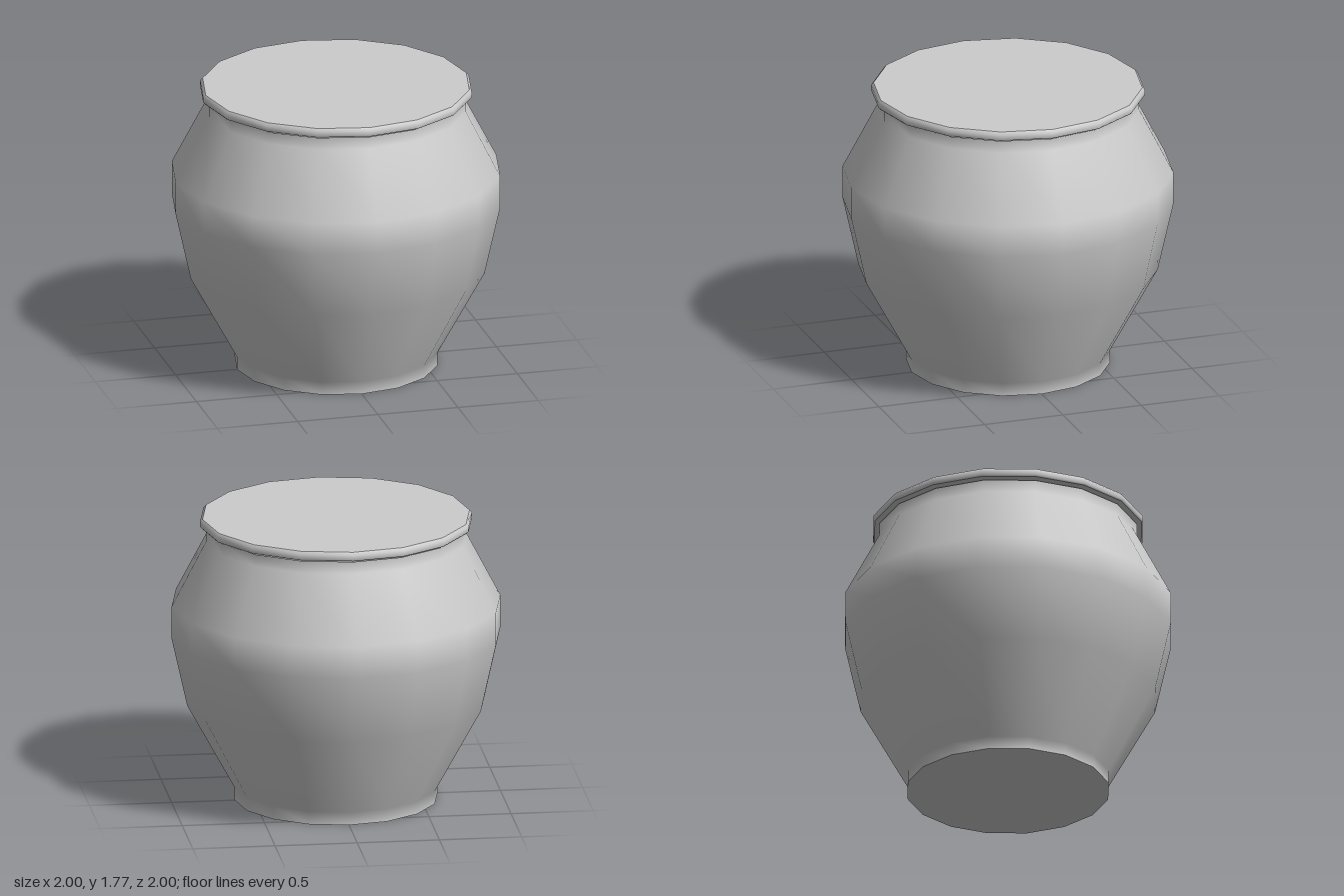
import * as THREE from 'three';

const SIDES = 16;
const material = new THREE.MeshStandardMaterial({ color: 0xcccccc, side: THREE.DoubleSide });

// Smooth wall turned around the y axis from [radius, height] pairs
function turned(name, profile) {
  const points = profile.map(([r, y]) => new THREE.Vector2(r, y));
  const mesh = new THREE.Mesh(new THREE.LatheGeometry(points, SIDES), material);
  mesh.name = name;
  return mesh;
}

// Flat disc closing a turned wall, facing up (1) or down (-1)
function disc(name, radius, y, facing) {
  const geometry = new THREE.CircleGeometry(radius, SIDES);
  geometry.rotateX(-facing * Math.PI / 2);
  const mesh = new THREE.Mesh(geometry, material);
  mesh.position.y = y;
  mesh.name = name;
  return mesh;
}

export function createModel() {
  const model = new THREE.Group();
  model.name = 'liddedJar';

  // Open-mouthed jar: foot, belly, shoulder and neck
  const jar = new THREE.Group();
  jar.name = 'jar';
  jar.add(
    turned('jarWall', [
      [0.617, 0], [0.617, 0.08], [0.905, 0.605], [1, 1.03],
      [1, 1.23], [0.792, 1.63], [0.792, 1.705],
    ]),
    disc('jarBase', 0.617, 0, -1),
  );

  // Thin lid with bevelled rim, held just above the neck
  const lid = new THREE.Group();
  lid.name = 'lid';
  lid.add(
    turned('lidRim', [[0.82, 1.718], [0.828, 1.727], [0.828, 1.755], [0.812, 1.772]]),
    disc('lidTop', 0.812, 1.772, 1),
    disc('lidUnderside', 0.82, 1.718, -1),
  );

  model.add(jar, lid);
  return model;
}
